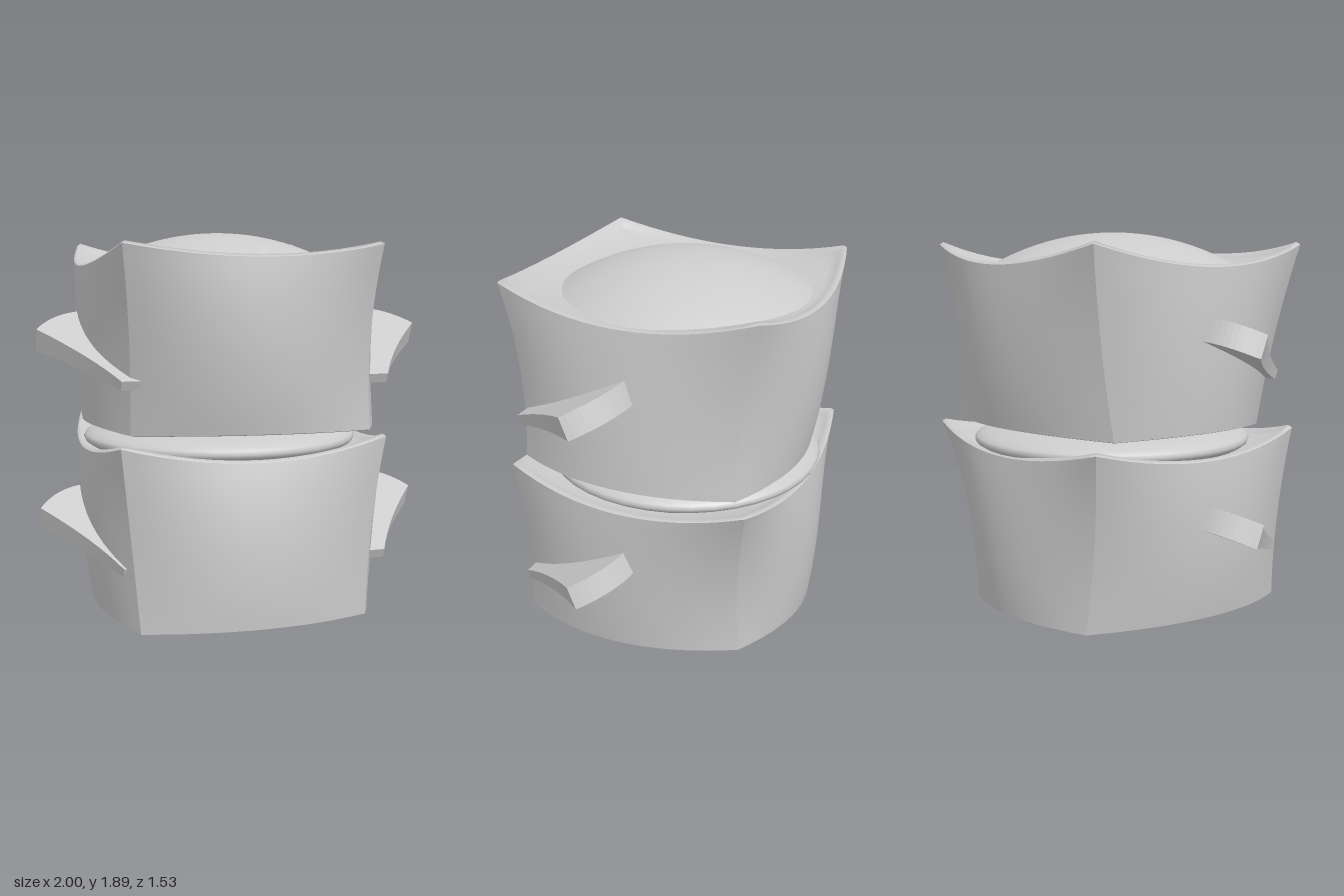
import * as THREE from 'three';
import { mergeGeometries } from 'three/addons/utils/BufferGeometryUtils.js';

const N = 16; // divisions along each side and up the height
const material = new THREE.MeshStandardMaterial({ color: 0xcccccc });

// smooth value through bottom, middle and top
const quad = (a, v) =>
  a[0] * (1 - v) * (1 - 2 * v) + a[1] * 4 * v * (1 - v) + a[2] * v * (2 * v - 1);

// indexed surface from rows of points
function grid(rows, flip = false) {
  const w = rows[0].length, index = [];
  for (let j = 0; j < rows.length - 1; j++) {
    for (let i = 0; i < w - 1; i++) {
      const a = j * w + i, b = a + 1, c = b + w, d = a + w;
      if (flip) index.push(a, c, b, a, d, c);
      else index.push(a, b, c, a, c, d);
    }
  }
  const g = new THREE.BufferGeometry();
  g.setAttribute('position', new THREE.Float32BufferAttribute(rows.flat(2), 3));
  g.setIndex(index);
  g.computeVertexNormals();
  return g;
}

// corners and side middles run front-left, front-right, back-right, back-left
// as seen from the front; each entry lists bottom, middle and top values
function bodyGeometry({ corners, mids, low, high, capY }) {
  const cornerAt = (k, v) => [quad(corners[k % 4].x, v), quad(corners[k % 4].z, v)];
  function sidePoint(k, u, v) {
    const a = cornerAt(k, v), b = cornerAt(k + 1, v);
    const bulge = 4 * u * (1 - u), axis = k % 2 ? 0 : 1;
    const p = [a[0] + (b[0] - a[0]) * u, a[1] + (b[1] - a[1]) * u];
    p[axis] += (quad(mids[k], v) - (a[axis] + b[axis]) / 2) * bulge;
    const lo = low[0] + (low[1] - low[0]) * bulge;
    const hi = high[0] + (high[k + 1] - high[0]) * bulge;
    return [p[0], lo + (hi - lo) * v, p[1]];
  }
  const loop = v => {
    const out = [];
    for (let k = 0; k < 4; k++) for (let i = 0; i < N; i++) out.push(sidePoint(k, i / N, v));
    out.push([...out[0]]);
    return out;
  };
  const cx = -0.03;
  const shrink = (ring, s, yRule) => ring.map(([x, y, z]) => [cx + (x - cx) * s, yRule(y), z * s]);

  const parts = [];
  // four bulging sides with hard upright edges
  for (let k = 0; k < 4; k++) {
    const rows = [];
    for (let j = 0; j <= N; j++) {
      const row = [];
      for (let i = 0; i <= N; i++) row.push(sidePoint(k, i / N, j / N));
      rows.push(row);
    }
    parts.push(grid(rows));
  }
  // top: narrow bevelled rim, then a dished surface
  const rim = loop(1);
  const top = [rim, shrink(rim, 0.978, y => y + 0.012)];
  for (const s of [0.95, 0.9, 0.83, 0.75, 0.65, 0.5, 0.25, 0.001]) {
    top.push(shrink(rim, s, y => capY + (y - capY) * s ** 4));
  }
  parts.push(grid(top));
  // underside, levelling out towards the middle
  const base = loop(0), floorY = low[1] - 0.005;
  const under = [base];
  for (const s of [0.98, 0.85, 0.6, 0.3, 0.001]) {
    under.push(shrink(base, s, y => floorY + (y - 0.005 - floorY) * s * s));
  }
  parts.push(grid(under, true));
  return mergeGeometries(parts);
}

// swept fin: tapered slab with a concave front edge and a rounded rear edge
function finGeometry() {
  const curve = (...p) => new THREE.QuadraticBezierCurve(...p.map(q => new THREE.Vector2(...q)));
  const front = curve([0.665, 0.54], [0.77, 0.34], [1, 0.1]).getPoints(8);
  const rear = curve([1, 0.1], [0.89, -0.06], [0.7, -0.06]).getPoints(12).slice(1);
  const plan = [[0.57, 0.54], ...[...front, ...rear].map(p => [p.x, p.y]), [0.5, -0.06]];
  const top = plan.map(([x, z]) => [x, 1.2 + (0.54 - z) * 0.5, z]);
  const bottom = top.map(([x, y, z]) => {
    const t = Math.min(1, (0.54 - z) / 0.45);
    return [x, y - 0.045 - 0.065 * t, z - 0.02 - 0.025 * t];
  });
  const pos = [];
  const n = plan.length;
  const tris = THREE.ShapeUtils.triangulateShape(plan.map(([x, z]) => new THREE.Vector2(x, -z)), []);
  for (const [a, b, c] of tris) {
    pos.push(...top[a], ...top[b], ...top[c], ...bottom[a], ...bottom[c], ...bottom[b]);
  }
  for (let i = 0; i < n; i++) {
    const j = (i + 1) % n;
    pos.push(...bottom[i], ...bottom[j], ...top[j], ...bottom[i], ...top[j], ...top[i]);
  }
  const g = new THREE.BufferGeometry();
  g.setAttribute('position', new THREE.Float32BufferAttribute(pos, 3));
  g.computeVertexNormals();
  return g;
}

// mirror across x and restore the winding
function mirrored(geometry) {
  const g = geometry.clone().scale(-1, 1, 1), p = g.attributes.position;
  for (let i = 0; i < p.count; i += 3) {
    const b = [p.getX(i + 1), p.getY(i + 1), p.getZ(i + 1)];
    p.setXYZ(i + 1, p.getX(i + 2), p.getY(i + 2), p.getZ(i + 2));
    p.setXYZ(i + 2, ...b);
  }
  g.computeVertexNormals();
  return g;
}

export function createModel() {
  const model = new THREE.Group();
  const add = (name, geometry) => {
    const mesh = new THREE.Mesh(geometry, material);
    mesh.name = name;
    model.add(mesh);
    return mesh;
  };

  add('lowerBody', bodyGeometry({
    corners: [
      { x: [-0.6, -0.64, -0.69], z: [0.6, 0.59, 0.63] },
      { x: [0.54, 0.57, 0.63], z: [0.6, 0.59, 0.61] },
      { x: [0.45, 0.51, 0.64], z: [-0.56, -0.57, -0.65] },
      { x: [-0.5, -0.58, -0.68], z: [-0.57, -0.58, -0.65] },
    ],
    mids: [[0.76, 0.76, 0.69], [0.68, 0.72, 0.73], [-0.73, -0.76, -0.73], [-0.73, -0.78, -0.77]],
    low: [0.005, 0.03],
    high: [0.9, 0.815, 0.82, 0.815, 0.815],
    capY: 0.79,
  }));
  add('upperBody', bodyGeometry({
    corners: [
      { x: [-0.61, -0.63, -0.68], z: [0.45, 0.55, 0.67] },
      { x: [0.56, 0.55, 0.58], z: [0.57, 0.58, 0.66] },
      { x: [0.56, 0.56, 0.59], z: [-0.57, -0.59, -0.67] },
      { x: [-0.6, -0.62, -0.68], z: [-0.48, -0.57, -0.66] },
    ],
    mids: [[0.7, 0.76, 0.75], [0.73, 0.7, 0.65], [-0.71, -0.76, -0.75], [-0.76, -0.78, -0.77]],
    low: [0.93, 0.95],
    high: [1.83, 1.77, 1.725, 1.735, 1.725],
    capY: 1.7,
  }));

  // flattened disc between the blocks
  const disc = add('lowerDome', new THREE.SphereGeometry(0.71, 40, 20));
  disc.scale.y = 0.16;
  disc.position.set(-0.04, 0.85, -0.035);

  // shallow cap on top
  const R = 1.25;
  const dome = add('upperDome', new THREE.SphereGeometry(R, 40, 12, 0, Math.PI * 2, 0, Math.asin(0.66 / R)));
  dome.position.set(-0.05, 1.89 - R, -0.035);

  // a pair of fins on each block
  const fin = finGeometry(), finMirror = mirrored(fin);
  for (const [level, y] of [['lower', -0.89], ['upper', 0]]) {
    add(level + 'LeftFin', fin).position.y = y;
    add(level + 'RightFin', finMirror).position.y = y;
  }
  return model;
}
